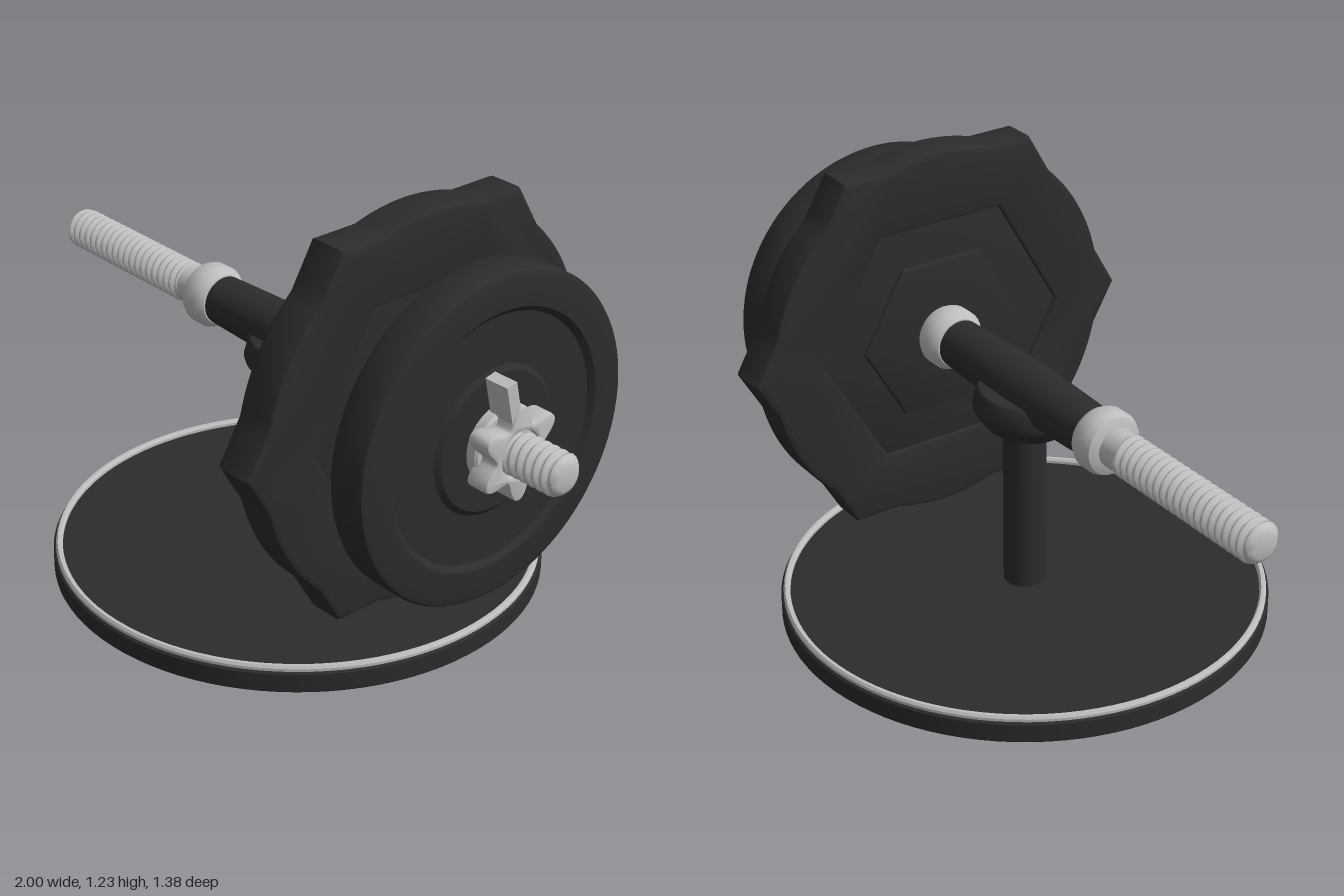
import * as THREE from 'three';
import { toCreasedNormals } from 'three/addons/utils/BufferGeometryUtils.js';

const AXIS_Y = 0.68; // height of the bar

export function createModel() {
  const model = new THREE.Group();
  model.name = 'dumbbellOnStand';
  const black = new THREE.MeshStandardMaterial({ color: 0x2c2c2c });
  black.name = 'black iron';
  const steel = new THREE.MeshStandardMaterial({ color: 0xbebebe });
  steel.name = 'steel';

  const add = (parent, name, geometry, material) => {
    const mesh = new THREE.Mesh(geometry, material);
    mesh.name = name;
    parent.add(mesh);
    return mesh;
  };
  // Profile is [radius, height] pairs, bottom to top
  const lathe = (profile, segments = 64) => toCreasedNormals(
    new THREE.LatheGeometry(profile.map(([r, h]) => new THREE.Vector2(r, h)), segments), 0.6);
  // The same, turned so that the axis runs along +x
  const latheX = (profile, segments) => lathe(profile, segments).rotateZ(-Math.PI / 2);
  const polar = (count, radius) => Array.from({ length: count }, (_, i) => {
    const a = (i / count) * Math.PI * 2;
    const r = radius(a);
    return new THREE.Vector2(r * Math.cos(a), r * Math.sin(a));
  });
  // Bevelled slab in the yz plane between x0 and x1
  const slabX = (points, x0, x1, bevel, hole, crease = 0.5) => {
    const shape = new THREE.Shape(points);
    if (hole) shape.holes.push(new THREE.Path(hole));
    const g = new THREE.ExtrudeGeometry(shape, {
      depth: x1 - x0 - 2 * bevel, bevelThickness: bevel, bevelSize: bevel,
      bevelOffset: -bevel, bevelSegments: 2, curveSegments: 12,
    });
    return toCreasedNormals(g.translate(0, 0, x0 + bevel).rotateY(Math.PI / 2), crease);
  };

  // Stand
  const stand = new THREE.Group();
  stand.name = 'stand';
  model.add(stand);
  add(stand, 'baseDisc', lathe([[0, 0], [0.685, 0], [0.69, 0.005], [0.69, 0.057],
    [0.685, 0.062], [0.66, 0.062], [0, 0.074]], 96), black);
  add(stand, 'baseTrimRing', lathe([[0.664, 0.06], [0.683, 0.06], [0.683, 0.07],
    [0.678, 0.077], [0.669, 0.077], [0.664, 0.07], [0.664, 0.06]], 96), steel);
  add(stand, 'post', lathe([[0.06, 0.06], [0.06, 0.6]], 40), black);
  const cradle = add(stand, 'cradle', lathe([[0, 0.562], [0.115, 0.562], [0.125, 0.568],
    [0.157, 0.605], [0.162, 0.62], [0.15, 0.665], [0.142, 0.675], [0, 0.68]], 48), black);
  cradle.scale.z = 0.84;

  // Everything carried by the bar
  const bar = new THREE.Group();
  bar.name = 'dumbbell';
  bar.position.y = AXIS_Y;
  model.add(bar);

  add(bar, 'grip', latheX([[0, -0.325], [0.06, -0.325], [0.07, -0.315], [0.072, -0.27],
    [0.076, -0.15], [0.08, 0], [0.076, 0.15], [0.072, 0.27], [0.07, 0.315],
    [0.06, 0.325], [0, 0.325]], 40), black);

  // Collars and plain sleeves, mirrored
  for (const side of [-1, 1]) {
    const end = new THREE.Group();
    end.name = side > 0 ? 'leftCollar' : 'rightCollar';
    end.rotation.y = side > 0 ? 0 : Math.PI;
    bar.add(end);
    add(end, 'collar', latheX([[0, 0.318], [0.072, 0.318], [0.08, 0.325], [0.09, 0.345],
      [0.09, 0.385], [0.082, 0.402], [0.06, 0.412], [0, 0.412]], 40), steel);
    add(end, 'sleeve', latheX([[0.056, 0.4], [0.056, 0.47], [0.045, 0.48]], 32), steel);
  }

  // Screw-threaded ends: radius follows a helix
  const thread = (x0, x1) => {
    const pitch = 0.027;
    const rows = Math.round(((x1 - x0) / pitch) * 6);
    const g = new THREE.CylinderGeometry(1, 1, x1 - x0, 28, rows, true);
    const p = g.attributes.position;
    for (let i = 0; i < p.count; i++) {
      const x = p.getY(i) + (x0 + x1) / 2;
      const a = Math.atan2(p.getZ(i), p.getX(i));
      const t = x / pitch + a / (Math.PI * 2);
      const wave = Math.abs((t - Math.floor(t)) * 2 - 1);
      const tooth = THREE.MathUtils.smoothstep(wave, 0.1, 0.8);
      const r = Math.min(0.046 + 0.014 * tooth, 0.044 + (1 - Math.abs(x)) * 0.8);
      p.setXYZ(i, Math.cos(a) * r, x, Math.sin(a) * r);
    }
    g.computeVertexNormals();
    return g.rotateZ(-Math.PI / 2);
  };
  add(bar, 'rightThread', thread(-0.993, -0.46), steel);
  add(bar, 'leftThread', thread(0.46, 0.993), steel);
  for (const side of [-1, 1]) {
    const cap = add(bar, side > 0 ? 'leftBarTip' : 'rightBarTip',
      latheX([[0.05, 0.99], [0.044, 0.996], [0.034, 1], [0, 1]], 28), steel);
    cap.rotation.y = side > 0 ? 0 : Math.PI;
  }

  // Large plate: a round disc merged with a hexagon
  const hexRadius = (R) => (a) => {
    const s = Math.PI / 3;
    return (R * Math.cos(s / 2)) / Math.cos((a % s) - s / 2);
  };
  const outer = hexRadius(0.605);
  const large = new THREE.Group();
  large.name = 'largePlate';
  bar.add(large);
  const outline = polar(144, (a) => Math.max(0.549, outer(a)));
  add(large, 'largeRim', slabX(outline, 0.4, 0.52, 0.014, polar(6, () => 0.39)), black);
  add(large, 'largeWeb', slabX(polar(6, () => 0.43), 0.412, 0.508, 0.004), black);
  add(large, 'largeHub', slabX(polar(6, () => 0.26), 0.4, 0.52, 0.012), black);

  // Small round plate with a recessed ring on both faces
  add(bar, 'smallPlate', latheX([[0, 0.642], [0.19, 0.642], [0.205, 0.654], [0.342, 0.654],
    [0.358, 0.64], [0.435, 0.64], [0.45, 0.645], [0.456, 0.655], [0.456, 0.745],
    [0.45, 0.755], [0.435, 0.76], [0.358, 0.76], [0.342, 0.746], [0.205, 0.746],
    [0.19, 0.758], [0, 0.758]], 96), black);

  // Star nut with six lobes and a locking tab
  const nut = new THREE.Group();
  nut.name = 'starNut';
  bar.add(nut);
  add(nut, 'nutWasher', latheX([[0, 0.755], [0.105, 0.755], [0.105, 0.785],
    [0.098, 0.792], [0, 0.792]], 40), steel);
  const star = polar(96, (a) => 0.109 - 0.026 * Math.cos(6 * a));
  add(nut, 'nutLobes', slabX(star, 0.775, 0.845, 0.008, polar(32, () => 0.064), 0.7), steel);
  add(nut, 'nutCore', latheX([[0, 0.78], [0.07, 0.78], [0.07, 0.83], [0, 0.83]], 32), steel);
  const tab = add(nut, 'lockingTab', new THREE.BoxGeometry(0.075, 0.11, 0.034), steel);
  tab.position.set(0.803, 0.15, 0.028);
  tab.rotation.x = 0.22;

  return model;
}
